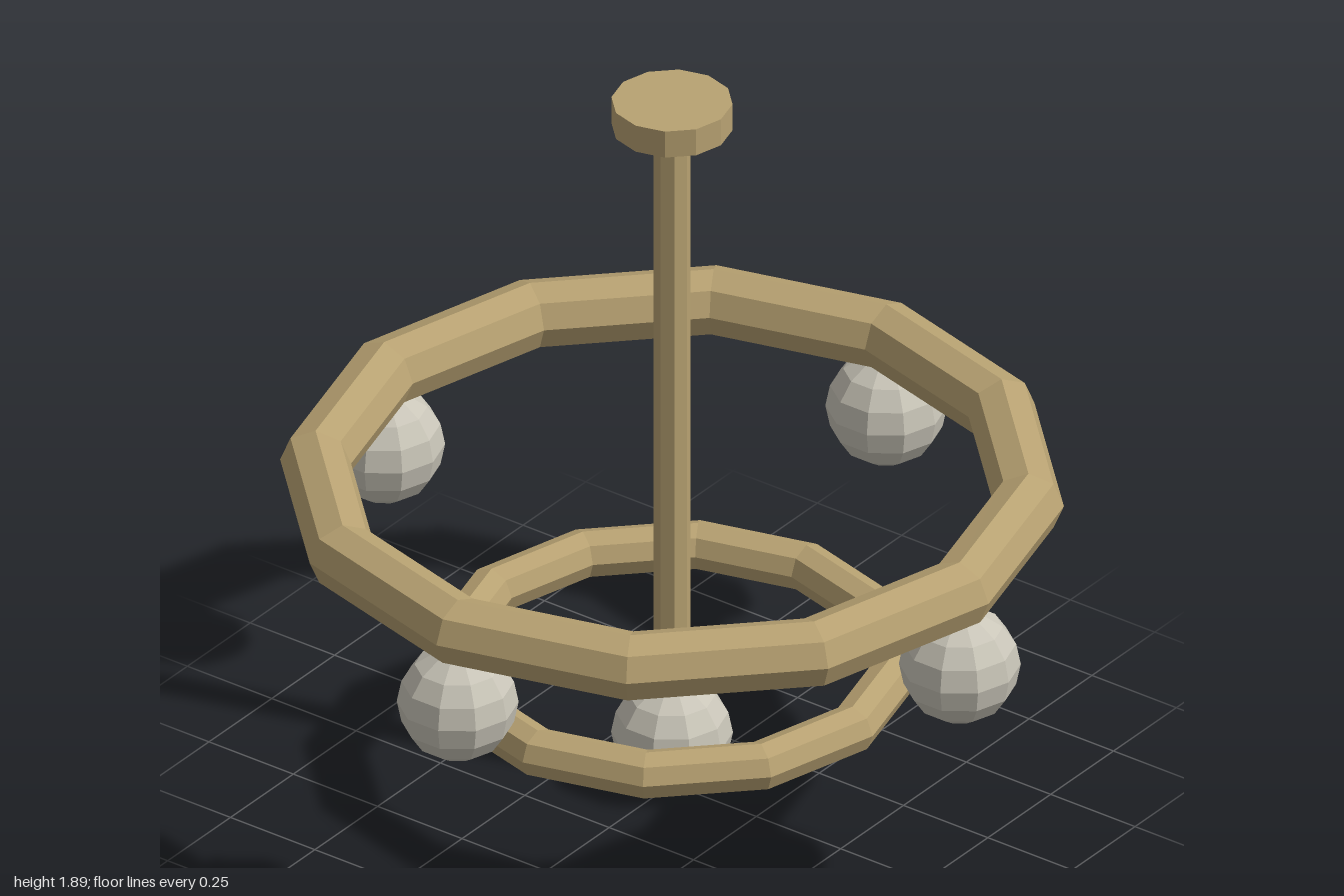
import * as THREE from 'three';

export function createModel() {
  const model = new THREE.Group();
  const brass = new THREE.MeshStandardMaterial({ color: 0xb8a272, flatShading: true });
  const glass = new THREE.MeshStandardMaterial({ color: 0xc9c5b8, flatShading: true });

  const add = (name, geometry, material, x, y, z) => {
    const mesh = new THREE.Mesh(geometry, material);
    mesh.name = name;
    mesh.position.set(x, y, z);
    model.add(mesh);
    return mesh;
  };

  // Ceiling plate, with a small gap above the rod
  add('ceilingPlate', new THREE.CylinderGeometry(0.145, 0.145, 0.072, 12), brass, 0, 1.858, 0);

  // Central rod, ending level with the lower ring
  add('rod', new THREE.CylinderGeometry(0.045, 0.045, 1.468, 8), brass, 0, 1.075, 0);

  // Two horizontal rings: twelve segments, octagonal section
  const ring = (name, radius, tube, y) =>
    add(name, new THREE.TorusGeometry(radius, tube, 8, 12).rotateX(Math.PI / 2), brass, 0, y, 0);
  ring('upperRing', 0.853, 0.085, 0.835);
  ring('lowerRing', 0.535, 0.06, 0.346);

  // Globes: four under the upper ring, one at the bottom centre
  const globe = new THREE.SphereGeometry(0.145, 10, 8).rotateY(Math.PI / 2);
  for (let i = 0; i < 4; i++) {
    const a = (i * Math.PI) / 2;
    add('globe' + (i + 1), globe, glass, 0.853 * Math.cos(a), 0.639, 0.853 * Math.sin(a));
  }
  add('centreGlobe', globe, glass, 0, 0.145, 0);

  return model;
}
